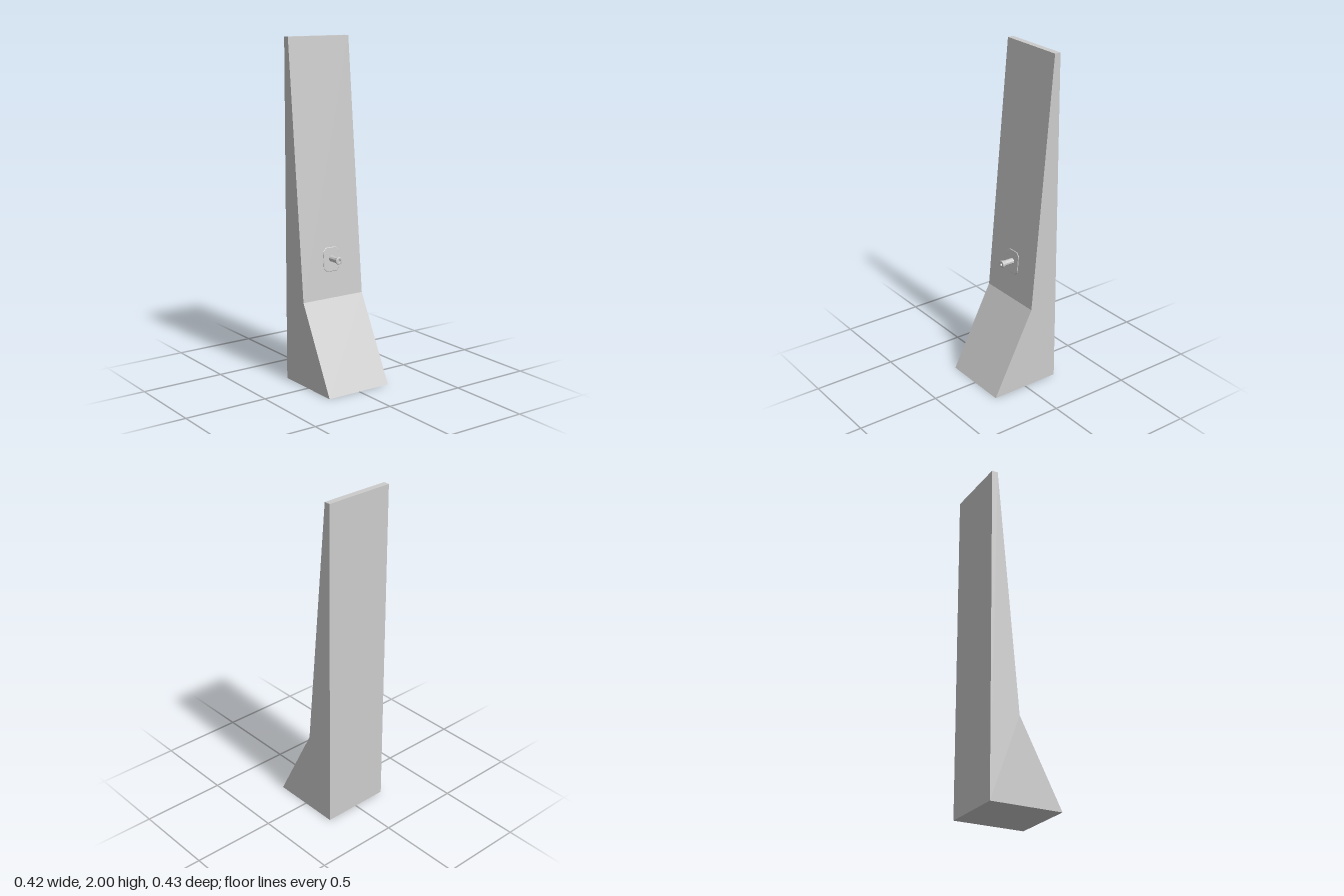
import * as THREE from 'three';

const HALF_WIDTH = 0.208;

export function createModel() {
  const model = new THREE.Group();
  const grey = new THREE.MeshStandardMaterial({ color: 0xcccccc, flatShading: true });
  grey.name = 'stone grey';

  const add = (name, geometry) => {
    const mesh = new THREE.Mesh(geometry, grey);
    mesh.name = name;
    model.add(mesh);
    return mesh;
  };

  // Tapered pillar: side profile (z, y) extruded across the width
  const profile = new THREE.Shape([
    [-0.217, 0], [0.217, 0], [-0.04, 0.5], [-0.18, 2], [-0.217, 2],
  ].map(([z, y]) => new THREE.Vector2(z, y)));
  const pillar = new THREE.ExtrudeGeometry(profile, { depth: HALF_WIDTH * 2, bevelEnabled: false });
  pillar.rotateY(-Math.PI / 2).translate(HALF_WIDTH, 0, 0);
  add('pillar', pillar);

  // Thin wall plate with clipped corners, lying on the sloping face
  const w = 0.054, h = 0.071, c = 0.02;
  const outline = new THREE.Shape([
    [-w + c, -h], [w - c, -h], [w, -h + c], [w, h - c],
    [w - c, h], [-w + c, h], [-w, h - c], [-w, -h + c],
  ].map(([x, y]) => new THREE.Vector2(x, y)));
  const plate = add('wallPlate', new THREE.ExtrudeGeometry(outline, {
    depth: 0.002, bevelThickness: 0.002, bevelSize: 0.003, bevelOffset: -0.003, bevelSegments: 1,
  }));
  plate.position.set(0, 0.725, -0.061);
  plate.rotation.x = -Math.atan2(0.14, 1.5);

  // Spout: flared rod with a small hollow in its end
  const spout = add('spout', new THREE.LatheGeometry([
    [0.02, 0], [0.017, 0.016], [0.017, 0.066], [0.022, 0.08],
    [0.022, 0.088], [0.019, 0.09], [0.01, 0.09], [0.008, 0.08], [0, 0.08],
  ].map(([r, y]) => new THREE.Vector2(r, y)), 10));
  spout.position.set(0, 0.73, -0.068);
  spout.rotation.x = Math.PI / 2;

  return model;
}
